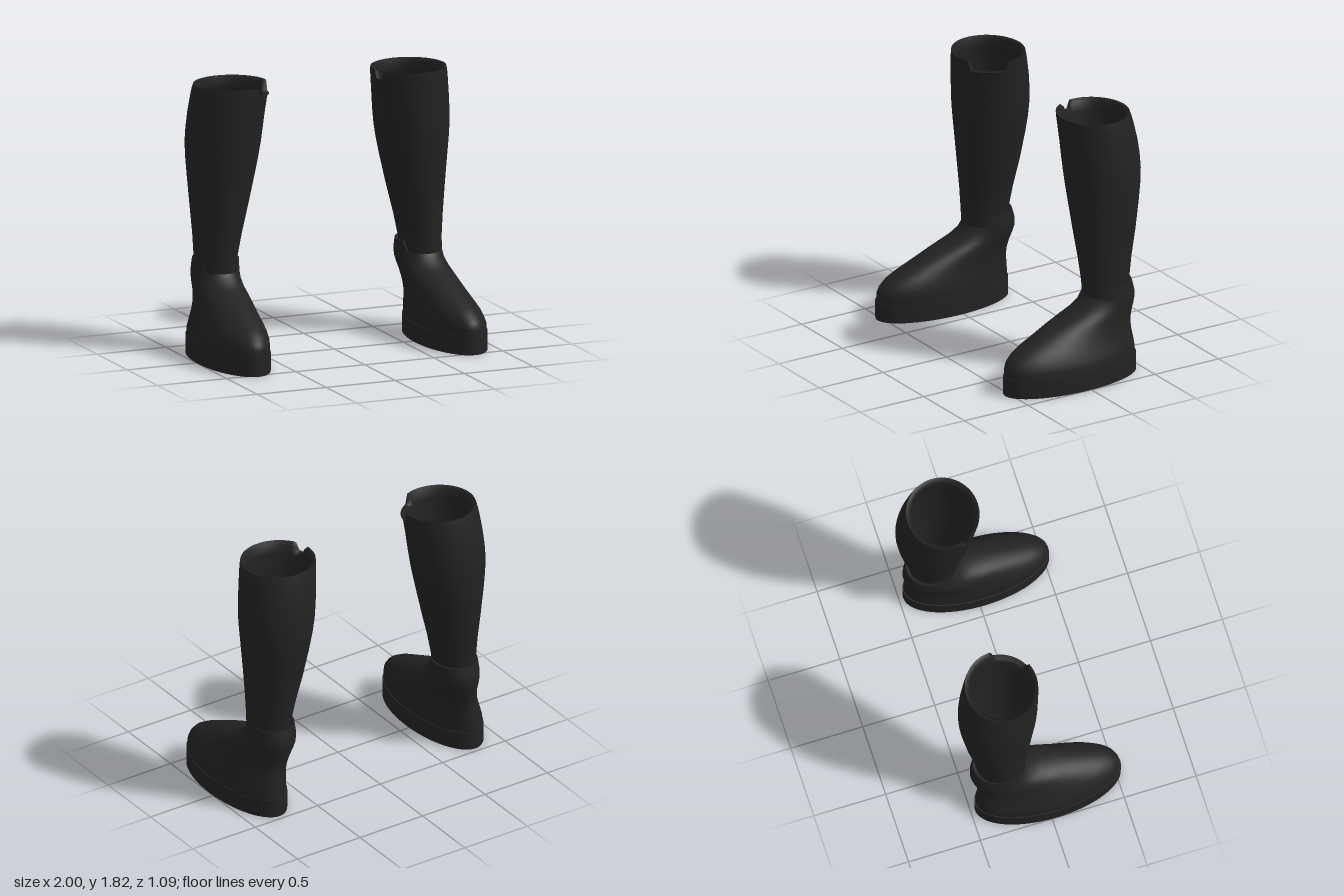
import * as THREE from 'three';

const SEGMENTS = 64;

// Skins elliptical sections [y, xMin, xMax, zMin, zMax]; cap(angle) limits the height of the rim.
// side = 1 for the left boot, -1 for its mirror image.
function loft(rows, side, cap = () => Infinity) {
  const pos = [], index = [];
  for (const [y, x0, x1, z0, z1] of rows) {
    for (let j = 0; j < SEGMENTS; j++) {
      const a = (j / SEGMENTS) * Math.PI * 2;
      pos.push(
        side * ((x0 + x1) / 2 + ((x1 - x0) / 2) * Math.sin(a)),
        Math.min(y, cap(a)),
        (z0 + z1) / 2 + ((z1 - z0) / 2) * Math.cos(a));
    }
  }
  for (let i = 0; i < rows.length - 1; i++) {
    for (let j = 0; j < SEGMENTS; j++) {
      const k = (j + 1) % SEGMENTS;
      const a = i * SEGMENTS + j, b = i * SEGMENTS + k;
      const c = b + SEGMENTS, d = a + SEGMENTS;
      if (side > 0) index.push(a, b, c, a, c, d);
      else index.push(a, c, b, a, d, c);
    }
  }
  const g = new THREE.BufferGeometry();
  g.setAttribute('position', new THREE.Float32BufferAttribute(pos, 3));
  g.setIndex(index);
  g.computeVertexNormals();
  return g;
}

// A section pulled inwards by t, at height y
const inset = ([, x0, x1, z0, z1], t, y) => [y, x0 + t, x1 - t, z0 + t, z1 - t];

const FOOT = [
  [0.125, 0.577, 0.995, -0.462, 0.532],
  [0.17, 0.576, 0.993, -0.46, 0.533],
  [0.21, 0.578, 0.98, -0.456, 0.52],
  [0.25, 0.584, 0.965, -0.45, 0.485],
  [0.29, 0.588, 0.948, -0.445, 0.42],
  [0.34, 0.59, 0.93, -0.445, 0.31],
  [0.39, 0.588, 0.915, -0.453, 0.2],
  [0.43, 0.586, 0.907, -0.464, 0.1],
  [0.465, 0.584, 0.9, -0.475, 0.005],
  [0.51, 0.58, 0.894, -0.484, -0.075],
  [0.555, 0.578, 0.89, -0.482, -0.108],
  [0.6, 0.58, 0.888, -0.47, -0.11],
  [0.635, 0.582, 0.885, -0.46, -0.112],
];

const SHAFT = [
  [0.54, 0.603, 0.878, -0.425, -0.113],
  [0.64, 0.6, 0.88, -0.44, -0.108],
  [0.8, 0.568, 0.888, -0.462, -0.093],
  [1.0, 0.52, 0.903, -0.5, -0.068],
  [1.2, 0.475, 0.92, -0.528, -0.045],
  [1.32, 0.45, 0.93, -0.541, -0.031],
  [1.42, 0.433, 0.935, -0.545, -0.021],
  [1.52, 0.421, 0.931, -0.54, -0.013],
  [1.62, 0.411, 0.923, -0.528, -0.007],
  [1.74, 0.396, 0.91, -0.504, 0],
  [1.79, 0.389, 0.903, -0.491, 0.003],
  [1.82, 0.388, 0.896, -0.482, 0.003],
];

// The collar is cut low over the instep
const collarCap = (a) => {
  const t = THREE.MathUtils.clamp((0.6 - Math.cos(a)) / 0.2, 0, 1);
  return 0.555 + 0.08 * t;
};

// A torn gap in the rim between two angles, in degrees from the front towards the inner side
const rimCap = (from, to, low) => (a) => {
  const d = 360 - THREE.MathUtils.radToDeg(a);
  return d > from && d < to ? low : Infinity;
};

function buildBoot(side, material) {
  const boot = new THREE.Group();
  boot.name = side > 0 ? 'leftBoot' : 'rightBoot';
  const add = (name, geometry) => {
    const mesh = new THREE.Mesh(geometry, material);
    mesh.name = name;
    boot.add(mesh);
  };

  // Oval sole: wall, then flat top and bottom faces
  const outline = [0, 0.57, 1.0, -0.47, 0.54];
  const centre = (y) => [y, 0.785, 0.785, 0.035, 0.035];
  add('soleWall', loft([outline, inset(outline, 0, 0.125)], side));
  add('soleTop', loft([inset(outline, 0, 0.125), centre(0.125)], side));
  add('soleBottom', loft([centre(0), outline], side));

  // Foot upper with collar thickness and insole
  const collar = FOOT[FOOT.length - 1];
  add('foot', loft(FOOT, side, collarCap));
  add('collarRim', loft([collar, inset(collar, 0.03, 0.63), inset(collar, 0.035, 0.54)], side, collarCap));
  add('insole', loft([inset(collar, 0.015, 0.55), [0.55, 0.735, 0.735, -0.28, -0.28]], side));

  // Tall shaft, folded over the rim to an inner lining
  const cap = side > 0 ? rimCap(62, 80, 1.765) : rimCap(28, 86, 1.75);
  const top = SHAFT[SHAFT.length - 1];
  const lining = SHAFT.slice(0, -2).reverse().map((r) => inset(r, r[0] > 0.7 ? 0.035 : 0.01, r[0]));
  add('shaft', loft(SHAFT, side, cap));
  add('shaftLining', loft([top, inset(top, 0.03, 1.805), ...lining], side, cap));
  return boot;
}

export function createModel() {
  const leather = new THREE.MeshStandardMaterial({ color: 0x222222 });
  leather.name = 'blackLeather';
  leather.side = THREE.DoubleSide;
  const model = new THREE.Group();
  model.name = 'boots';
  for (const side of [1, -1]) model.add(buildBoot(side, leather));
  return model;
}
